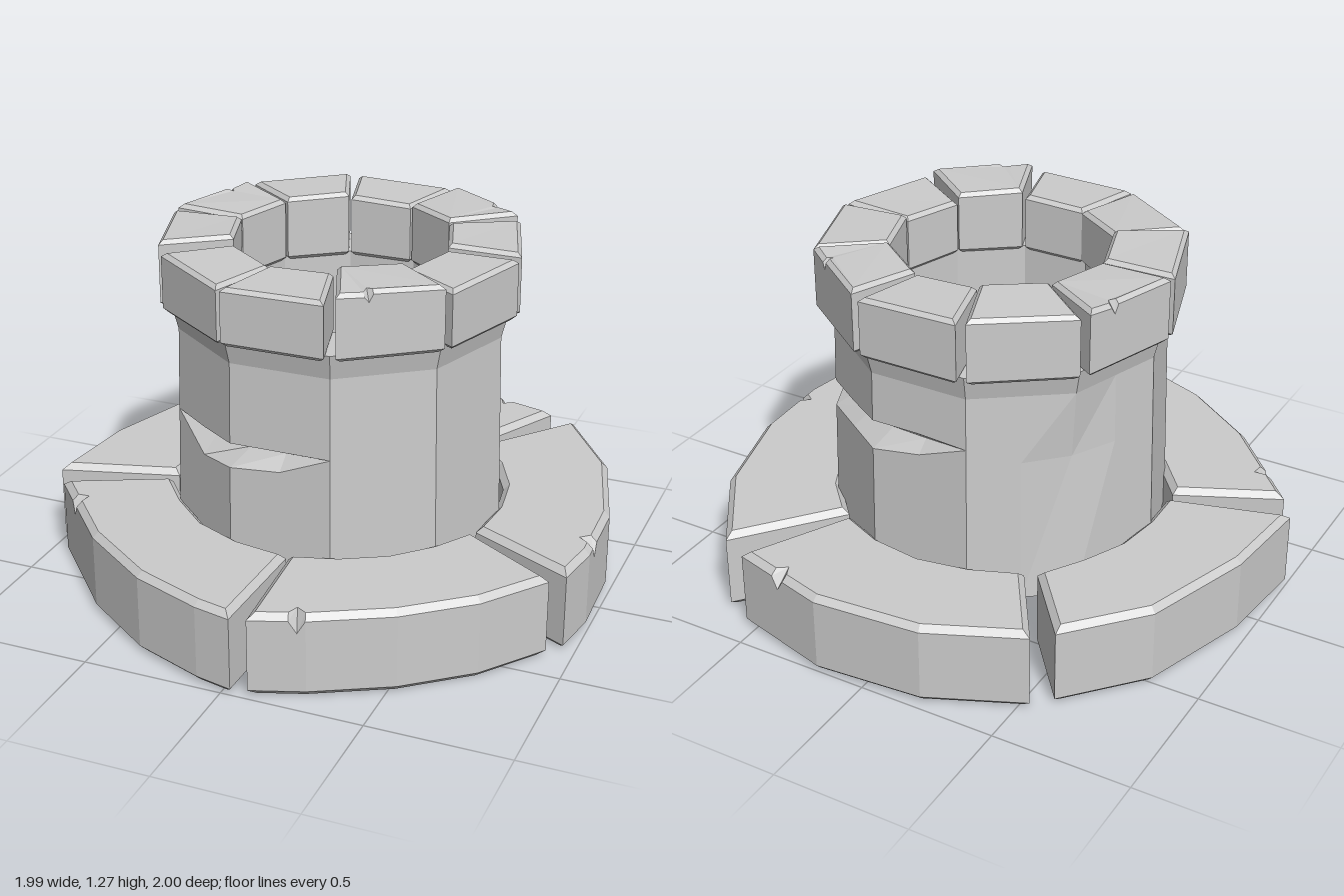
import * as THREE from 'three';

const CX = 0.01, CZ = -0.035; // tower axis
const DEG = Math.PI / 180;
const stone = new THREE.MeshStandardMaterial({ color: 0xcccccc, flatShading: true });

// Closed solid through a stack of point rings (outside bottom to top), capped at both ends
function loft(rings, name) {
  const pos = [], n = rings[0].length;
  const tri = (a, b, c) => pos.push(...a, ...b, ...c);
  for (let r = 0; r < rings.length - 1; r++) {
    for (let i = 0; i < n; i++) {
      const j = (i + 1) % n, lo = rings[r], up = rings[r + 1];
      tri(lo[i], up[i], lo[j]);
      tri(lo[j], up[i], up[j]);
    }
  }
  const cap = (ring, top) => {
    const flat = ring.map(p => new THREE.Vector2(p[0], p[2]));
    for (const [a, b, c] of THREE.ShapeUtils.triangulateShape(flat, [])) {
      if (top) tri(ring[a], ring[c], ring[b]); else tri(ring[a], ring[b], ring[c]);
    }
  };
  cap(rings[0], false);
  cap(rings[rings.length - 1], true);
  const g = new THREE.BufferGeometry();
  g.setAttribute('position', new THREE.Float32BufferAttribute(pos, 3));
  g.computeVertexNormals();
  const mesh = new THREE.Mesh(g, stone);
  mesh.name = name;
  return mesh;
}

// Bevelled stone over an [x, z] outline; notches are [edge, t] chips in the top rim
function stoneBlock(outline, y0, y1, bevel, notches, name, size, lift = () => 0) {
  const pts = [];
  outline.forEach((p, i) => {
    pts.push({ x: p[0], z: p[1] });
    const q = outline[(i + 1) % outline.length];
    const len = Math.hypot(q[0] - p[0], q[1] - p[1]);
    for (const [edge, t] of notches) {
      if (edge !== i) continue;
      for (const s of [-1, 0, 1]) {
        const k = t + s * size * 0.5 / len;
        pts.push({ x: p[0] + (q[0] - p[0]) * k, z: p[1] + (q[1] - p[1]) * k, chip: s === 0 });
      }
    }
  });
  if (THREE.ShapeUtils.area(pts.map(p => new THREE.Vector2(p.x, p.z))) < 0) pts.reverse();
  const n = pts.length;
  // Mitred inward direction at every corner
  pts.forEach((p, i) => {
    const a = pts[(i + n - 1) % n], b = pts[(i + 1) % n];
    const l1 = Math.hypot(p.x - a.x, p.z - a.z), l2 = Math.hypot(b.x - p.x, b.z - p.z);
    const n1 = [-(p.z - a.z) / l1, (p.x - a.x) / l1], n2 = [-(b.z - p.z) / l2, (b.x - p.x) / l2];
    const d = 1 + n1[0] * n2[0] + n1[1] * n2[1];
    p.in = [(n1[0] + n2[0]) / d, (n1[1] + n2[1]) / d];
  });
  const ring = (y, inset, chipDown, chipIn, raise) => pts.map((p, i) => {
    const k = inset + (p.chip ? chipIn : 0);
    return [p.x + p.in[0] * k, y - (p.chip ? chipDown : 0) + raise * lift(i), p.z + p.in[1] * k];
  });
  return loft([
    ring(y0, bevel, 0, 0, 0), ring(y0 + bevel, 0, 0, 0, 0),
    ring(y1 - bevel, 0, size * 0.8, 0, 1), ring(y1, bevel, 0, size * 0.6, 1),
  ], name);
}

// Ten-sided hollow shaft with two gashes: angle -> [lower lip, crease, upper lip, depth]
function tower() {
  const closed = y => [y, y, y, 0];
  const gash = {
    '-54': closed(0.65), '-36': [0.545, 0.62, 0.65, 0.06], '-18': [0.57, 0.61, 0.66, 0.11],
    0: [0.585, 0.63, 0.66, 0.06], 18: closed(0.66),
    90: closed(0.76), 108: [0.68, 0.715, 0.75, 0.05], 126: [0.64, 0.70, 0.74, 0.09],
    144: [0.65, 0.71, 0.75, 0.08], 162: [0.66, 0.71, 0.77, 0.09], 180: [0.69, 0.73, 0.77, 0.05],
    198: closed(0.76),
  };
  const rings = [[], [], [], [], [], [], [], []];
  for (let a = 288; a > -72; a -= 18) {
    const flat = a % 36 === 0 ? Math.cos(18 * DEG) : 1; // middle of a flat side
    const [lo, mid, up, depth] = gash[a] || closed(0.7);
    const worn = a === 234 ? 0.03 : 0; // one knocked-back corner
    const wall = y => 0.597 - 0.023 * (y - 0.3) - worn;
    const profile = [[0.17, 0.6], [lo, wall(lo)], [mid, wall(mid) - depth], [up, wall(up)],
      [0.95, 0.582], [1.04, 0.605], [1.04, 0.4], [0.7, 0.4]];
    profile.forEach(([y, r], i) => rings[i].push(
      [CX + Math.sin(a * DEG) * r * flat, y, CZ + Math.cos(a * DEG) * r * flat]));
  }
  return loft(rings, 'towerShaft');
}

// Base slabs: outer edge, the two inner corners, and rim chips
const slabs = [
  { outer: [[0.035, 1.0], [-0.1, 0.97], [-0.36, 0.87], [-0.63, 0.68], [-0.93, 0.35]],
    inner: [[-0.57, 0.18], [0.045, 0.56]], chips: [[3, 0.62]] },
  { outer: [[0.09, 0.985], [0.27, 0.92], [0.53, 0.78], [0.75, 0.6], [0.915, 0.38]],
    inner: [[0.57, 0.17], [0.055, 0.56]], chips: [[0, 0.85]] },
  { outer: [[0.96, 0.33], [0.99, 0.15], [0.98, -0.15], [0.87, -0.53], [0.65, -0.85]],
    inner: [[0.37, -0.5], [0.58, 0.14]], chips: [[1, 0.25]] },
  { outer: [[0.545, -0.9], [0.18, -1.0], [-0.21, -0.97], [-0.54, -0.82]],
    inner: [[-0.35, -0.52], [0.35, -0.52]], chips: [[0, 0.5]] },
  { outer: [[-0.6, -0.76], [-0.83, -0.5], [-0.96, -0.1], [-0.995, 0.25]],
    inner: [[-0.57, 0.13], [-0.39, -0.5]], chips: [] },
];

function baseSlab({ outer, inner, chips }) {
  // Inner edge follows the tower between the two corners
  const [p, q] = inner;
  const a0 = Math.atan2(p[0] - CX, p[1] - CZ);
  let da = Math.atan2(q[0] - CX, q[1] - CZ) - a0;
  da = Math.atan2(Math.sin(da), Math.cos(da));
  const arc = [1, 2, 3].map(i => {
    const a = a0 + da * i / 4;
    return [CX + Math.sin(a) * 0.585, CZ + Math.cos(a) * 0.585];
  });
  return stoneBlock([...outer, p, ...arc, q], 0, 0.305, 0.022, chips, 'baseSlab', 0.055);
}

export function createModel() {
  const model = new THREE.Group();
  model.name = 'ruinedTower';

  const base = new THREE.Group();
  base.name = 'base';
  slabs.forEach(s => base.add(baseSlab(s)));
  model.add(base, tower());

  // Crown of ten wedge stones: top height and small turn in degrees
  const crown = new THREE.Group();
  crown.name = 'crown';
  const stones = [[1.245, 0], [1.27, 0.5], [1.245, 0], [1.26, 0], [1.27, 0],
    [1.26, 0], [1.27, 0], [1.27, 0], [1.27, 0], [1.245, 1.5]];
  stones.forEach(([top, turn], k) => {
    const wedge = [[-0.182, 0.613], [0.182, 0.613], [0.114, 0.365], [-0.114, 0.365]];
    const chips = k % 3 === 1 ? [[0, 0.3]] : [];
    const block = stoneBlock(wedge, 1.03, top, 0.014, chips, 'crownStone', 0.03,
      i => 0.005 * Math.sin(k * 2.3 + i * 1.7) - 0.005);
    block.position.set(CX, 0, CZ);
    block.rotation.y = (k * 36 + turn) * DEG;
    crown.add(block);
  });
  model.add(crown);
  return model;
}
